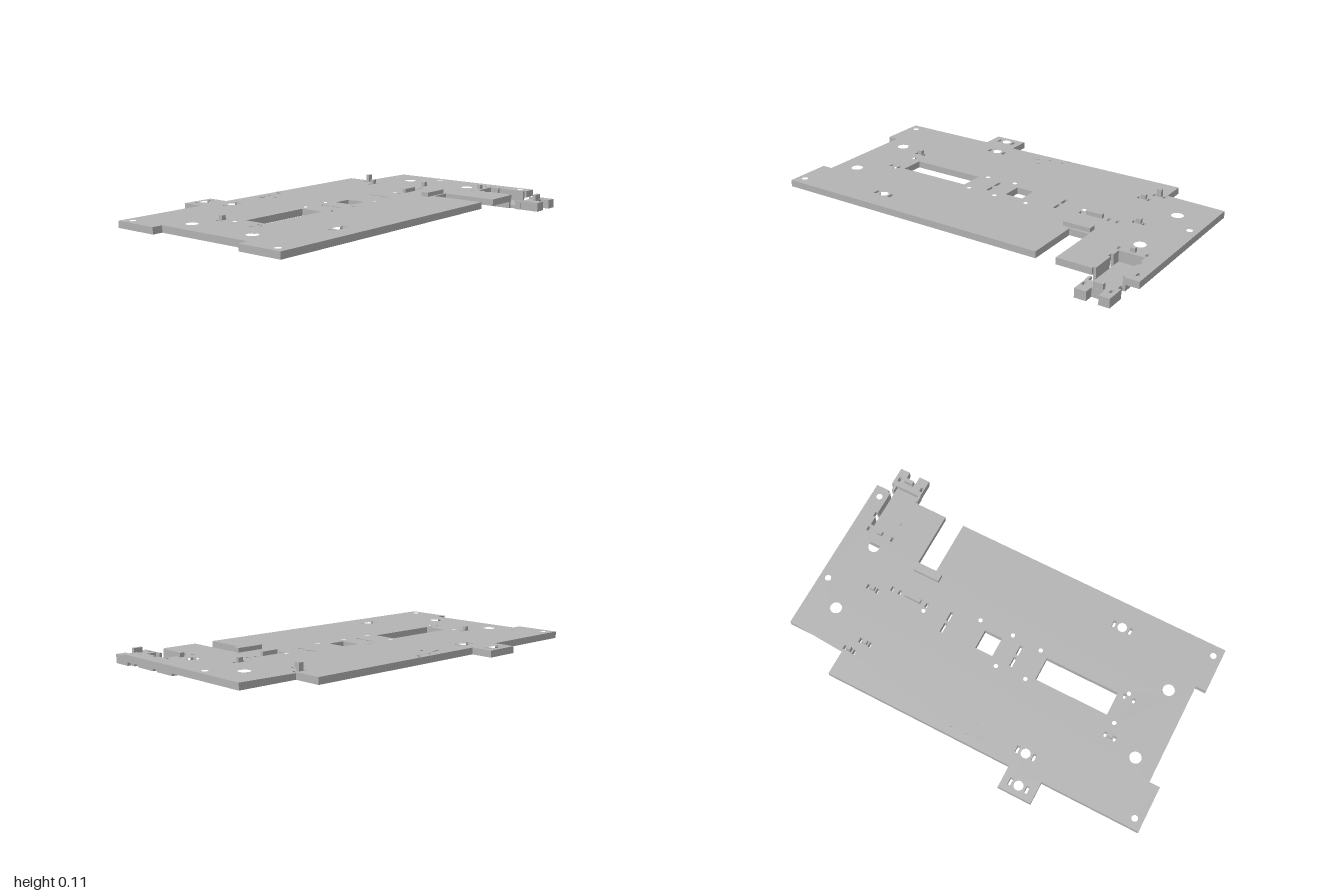
import * as THREE from 'three';

export function createModel() {
  const model = new THREE.Group();
  const grey = new THREE.MeshStandardMaterial({ color: 0xb3b3b3 });
  grey.name = 'plain grey';
  const bottom = 0.038, top = 0.072;

  const add = (name, geometry) => {
    const mesh = new THREE.Mesh(geometry, grey);
    mesh.name = name;
    model.add(mesh);
    return mesh;
  };
  // Box given by its limits on each axis
  const block = (name, x0, x1, y0, y1, z0, z1) =>
    add(name, new THREE.BoxGeometry(x1 - x0, y1 - y0, z1 - z0))
      .position.set((x0 + x1) / 2, (y0 + y1) / 2, (z0 + z1) / 2);
  // Plan outlines are written as (x, z)
  const toPoints = (list) => list.map(([x, z]) => new THREE.Vector2(x, -z));
  const slab = (name, shape, y0, y1) => {
    const g = new THREE.ExtrudeGeometry(shape, { depth: y1 - y0, bevelEnabled: false, curveSegments: 10 });
    g.rotateX(-Math.PI / 2);
    g.translate(0, y0, 0);
    add(name, g);
  };

  // Base plate with rear tab, side notches, front slot and bracket opening
  const plate = new THREE.Shape(toPoints([
    [-1, -0.53], [-0.49, -0.53], [-0.49, -0.645], [-0.315, -0.645], [-0.315, -0.53],
    [0.69, -0.53], [0.69, -0.385], [1, -0.385], [1, 0.49],
    [0.928, 0.49], [0.928, 0.478], [0.915, 0.478], [0.915, 0.35], [0.928, 0.35], [0.928, 0.322],
    [0.915, 0.322], [0.915, 0.275], [0.785, 0.275], [0.785, 0.322], [0.772, 0.322],
    [0.772, 0.35], [0.785, 0.35], [0.785, 0.478], [0.772, 0.478], [0.772, 0.49],
    [0.59, 0.49], [0.59, 0.2], [0.485, 0.2], [0.485, 0.49], [-1, 0.49],
    [-1, 0.25], [-0.945, 0.25], [-0.945, -0.29], [-1, -0.29],
  ]));
  const roundHole = (x, z, r) => {
    const hole = new THREE.Path();
    hole.absarc(x, -z, r, 0, Math.PI * 2, true);
    plate.holes.push(hole);
  };
  const slot = (x, z, w, d) => plate.holes.push(new THREE.Path(toPoints([
    [x - w / 2, z - d / 2], [x - w / 2, z + d / 2], [x + w / 2, z + d / 2], [x + w / 2, z - d / 2],
  ])));

  // Windows
  slot(-0.425, -0.021, 0.39, 0.125);
  slot(0.063, -0.023, 0.095, 0.105);
  // Mounting holes
  for (const x of [-0.835, 0.835]) for (const z of [-0.213, 0.17]) roundHole(x, z, 0.03);
  for (const [x, z] of [[-0.957, -0.48], [-0.957, 0.435], [0.955, -0.09], [0.955, 0.435]]) roundHole(x, z, 0.016);
  // Pilot holes
  for (const [x, z] of [[-0.67, -0.105], [-0.67, 0.063], [-0.185, -0.105], [-0.185, 0.063],
    [-0.025, -0.113], [-0.025, 0.07], [0.157, 0.066], [0.436, -0.022]]) roundHole(x, z, 0.011);
  // Larger holes flanked by slots
  for (const [x, z] of [[-0.401, -0.595], [-0.359, -0.44], [-0.491, 0.362]]) {
    roundHole(x, z, 0.024);
    for (const s of [-1, 1]) slot(x + s * 0.044, z, 0.015, 0.037);
  }
  // Narrow slots
  for (const x of [-0.09, 0.303]) for (const z of [-0.055, 0.012]) slot(x, z, 0.015, 0.053);

  // Upright catches, each between two slots: x, z, slot spacing, half length, height
  for (const [x, z, spacing, half, height] of [
    [0.843, 0.249, 0.07, 0.013, 0.093], [0.723, -0.036, 0.027, 0.013, 0.095],
    [0.61, -0.306, 0.027, 0.012, 0.095], [0.66, -0.376, 0.027, 0.012, 0.111],
    [-0.681, -0.176, 0.025, 0.012, 0.095], [-0.681, 0.041, 0.025, 0, 0],
  ]) {
    for (const s of [-1, 1]) slot(x + s * spacing, z, 0.014, 0.026);
    if (height) block('catch', x - half, x + half, top, height, z - 0.01, z + 0.01);
  }
  // Long central catch
  for (const x of [0.436, 0.59, 0.634]) slot(x, 0.01, 0.014, 0.026);
  block('longCatch', 0.47, 0.557, top, 0.093, 0.001, 0.021);
  slab('basePlate', plate, bottom, top);

  // Bridge block behind the front slot
  block('bridgeBlock', 0.443, 0.587, top, 0.094, 0.147, 0.187);

  // Small raised marks near the rear edge
  for (const [x, z, length] of [[-0.118, -0.465, 0.045], [-0.077, -0.413, 0.02],
    [-0.05, -0.484, 0.02], [0.027, -0.484, 0.02], [0.052, -0.516, 0.02]]) {
    const mark = add('rearMark', new THREE.CylinderGeometry(0.5, 0.5, 0.003, 10));
    mark.scale.set(length, 1, 0.014);
    mark.position.set(x, top + 0.0015, z);
  }

  // Bracket hung below the front corner
  block('bracketFloor', 0.785, 0.915, 0, 0.017, 0.2, 0.55);
  block('bracketRear', 0.785, 0.915, 0.017, bottom, 0.2, 0.275);
  for (const [x0, x1] of [[0.772, 0.785], [0.915, 0.928]]) {
    for (const [z0, z1] of [[0.2, 0.322], [0.355, 0.478], [0.513, 0.548]]) {
      block('bracketSide', x0, x1, 0, z0 > 0.5 ? 0.045 : bottom, z0, z1);
    }
  }
  // Forked bracket end
  const fork = new THREE.Shape(toPoints([
    [0.775, 0.545], [0.945, 0.545], [0.945, 0.645], [0.892, 0.645], [0.892, 0.6],
    [0.833, 0.6], [0.833, 0.645], [0.775, 0.645],
  ]));
  for (const x of [0.788, 0.92]) {
    fork.holes.push(new THREE.Path(toPoints([
      [x - 0.007, 0.572], [x - 0.007, 0.598], [x + 0.007, 0.598], [x + 0.007, 0.572],
    ])));
  }
  slab('bracketFork', fork, 0, 0.045);
  block('forkCatch', 0.838, 0.886, 0.045, 0.074, 0.578, 0.597);

  return model;
}
